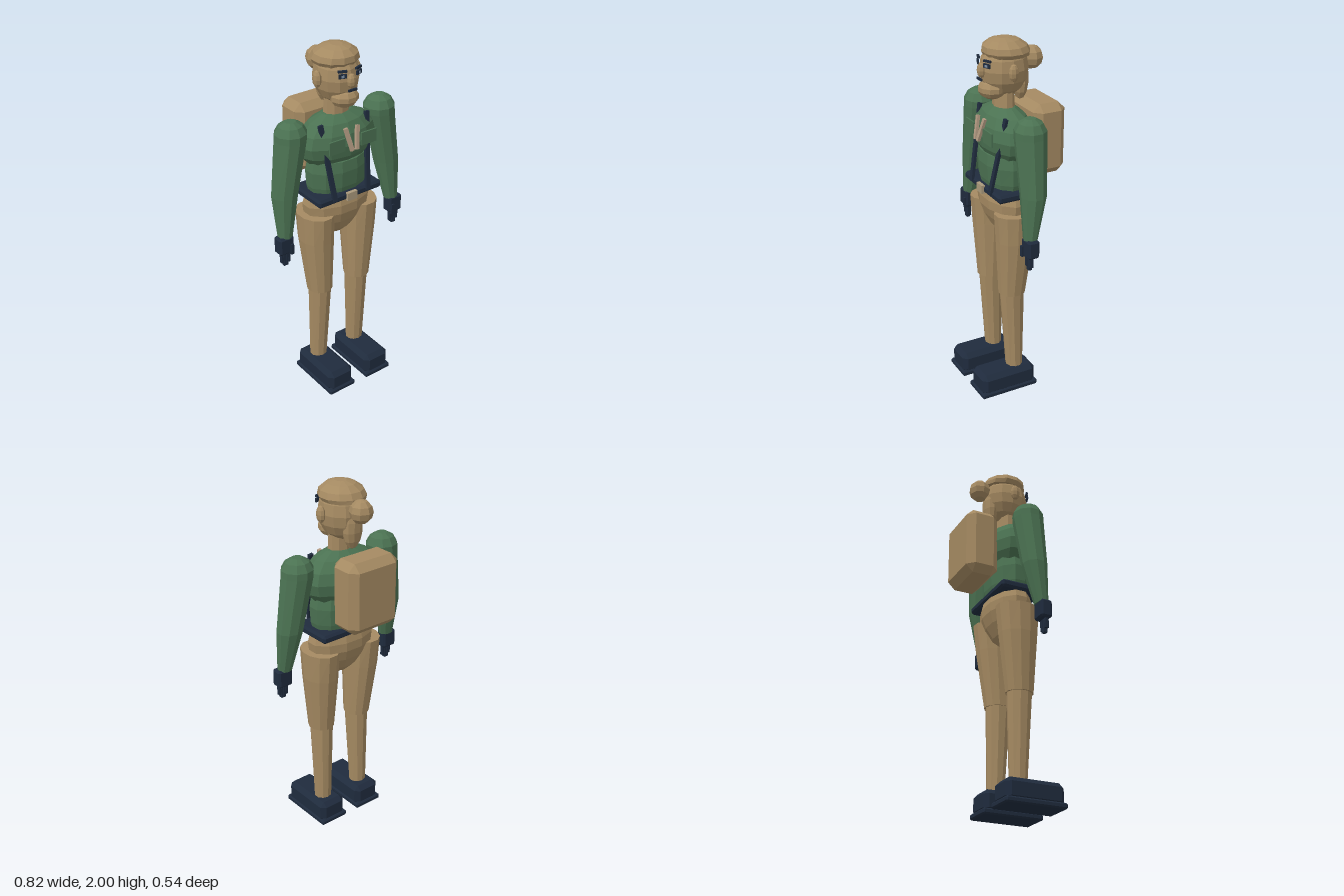
import * as THREE from 'three';
import { ConvexGeometry } from 'three/addons/geometries/ConvexGeometry.js';

const mat = (name, color) => {
  const m = new THREE.MeshStandardMaterial({ color, flatShading: true });
  m.name = name;
  return m;
};

// Solid from horizontal elliptical rings [x, y, z, rx, rz], listed bottom to top
function loft(rings, n = 10) {
  const pos = [], idx = [];
  for (const [x, y, z, rx, rz] of rings) {
    for (let i = 0; i < n; i++) {
      const a = ((i + 0.5) / n) * Math.PI * 2;
      pos.push(x + rx * Math.cos(a), y, z + rz * Math.sin(a));
    }
  }
  const last = rings.length - 1;
  for (let k = 0; k < last; k++) {
    for (let i = 0; i < n; i++) {
      const j = (i + 1) % n, a = k * n, b = a + n;
      idx.push(a + i, b + i, a + j, a + j, b + i, b + j);
    }
  }
  for (let i = 1; i < n - 1; i++) {
    idx.push(0, i, i + 1, last * n, last * n + i + 1, last * n + i);
  }
  const g = new THREE.BufferGeometry();
  g.setAttribute('position', new THREE.Float32BufferAttribute(pos, 3));
  g.setIndex(idx);
  g.computeVertexNormals();
  return g;
}

// Box with every edge cut at 45 degrees
function chamferBox(w, h, d, c) {
  const pts = [];
  for (const x of [-w / 2, w / 2]) for (const y of [-h / 2, h / 2]) for (const z of [-d / 2, d / 2]) {
    const X = x - Math.sign(x) * c, Y = y - Math.sign(y) * c, Z = z - Math.sign(z) * c;
    pts.push(new THREE.Vector3(x, Y, Z), new THREE.Vector3(X, y, Z), new THREE.Vector3(X, Y, z));
  }
  return new ConvexGeometry(pts);
}

export function createModel() {
  const model = new THREE.Group();
  model.name = 'figure';
  const tan = mat('tan', 0xa58a62), green = mat('green', 0x4b7252), navy = mat('navy', 0x1f2b3d);
  const buckleTan = mat('pale brass', 0xab9a7c), strapPink = mat('pinkish beige', 0xb09880);
  const eyeBlue = mat('eye grey', 0x7e90a4);

  const add = (name, geo, m, x = 0, y = 0, z = 0) => {
    const mesh = new THREE.Mesh(geo, m);
    mesh.name = name;
    mesh.position.set(x, y, z);
    model.add(mesh);
    return mesh;
  };
  const box = (w, h, d) => new THREE.BoxGeometry(w, h, d);
  const ball = (name, m, x, y, z, rx, ry, rz, n = 10, rows = 7) => {
    const b = add(name, new THREE.SphereGeometry(1, n, rows), m, x, y, z);
    b.scale.set(rx, ry, rz);
    return b;
  };
  // Bar running between two points
  const bar = (name, m, from, to, w, d) => {
    const a = new THREE.Vector3(...from), b = new THREE.Vector3(...to);
    const s = add(name, box(w, a.distanceTo(b), d), m);
    s.position.copy(a).add(b).multiplyScalar(0.5);
    s.quaternion.setFromUnitVectors(new THREE.Vector3(0, 1, 0), a.sub(b).normalize());
    return s;
  };

  // Head and hair
  ball('head', tan, 0, 1.84, 0.022, 0.117, 0.15, 0.13, 12, 8);
  ball('jaw', tan, 0, 1.74, 0.09, 0.078, 0.055, 0.075);
  ball('nose', tan, 0, 1.842, 0.15, 0.026, 0.04, 0.024, 8, 6);
  add('hairCap', loft([
    [0, 1.908, 0.005, 0.114, 0.12], [0, 1.93, 0.012, 0.127, 0.127], [0, 1.96, 0.018, 0.115, 0.117],
    [0, 1.988, 0.022, 0.075, 0.08], [0, 2.0, 0.025, 0.03, 0.035],
  ], 12), tan);
  ball('hairBun', tan, 0, 1.875, -0.137, 0.063, 0.063, 0.063, 8, 6);
  ball('hairTail', tan, 0, 1.78, -0.07, 0.06, 0.122, 0.043);
  add('mouth', box(0.052, 0.012, 0.009), navy, 0, 1.798, 0.161);
  add('neck', loft([[0, 1.6, 0.025, 0.078, 0.055], [0, 1.73, 0.025, 0.07, 0.05]]), tan);

  // Torso
  ball('chest', green, 0, 1.492, 0.025, 0.237, 0.162, 0.137, 12, 8);
  add('abdomen', loft([
    [0, 1.19, 0.03, 0.165, 0.1], [0, 1.25, 0.03, 0.182, 0.115],
    [0, 1.34, 0.03, 0.188, 0.122], [0, 1.4, 0.03, 0.175, 0.115],
  ], 12), green);
  add('belt', chamferBox(0.41, 0.045, 0.25, 0.012), navy, 0, 1.2, 0.033);
  add('buckle', box(0.062, 0.046, 0.02), buckleTan, 0, 1.2, 0.162);
  add('pelvis', loft([
    [0, 0.925, 0.025, 0.032, 0.025], [0, 0.965, 0.025, 0.095, 0.065], [0, 1.03, 0.025, 0.165, 0.1],
    [0, 1.09, 0.025, 0.2, 0.12], [0, 1.14, 0.025, 0.207, 0.122], [0, 1.18, 0.025, 0.195, 0.112],
  ], 12), tan);
  add('backpack', chamferBox(0.32, 0.39, 0.187, 0.04), tan, 0, 1.46, -0.177);

  for (const s of [-1, 1]) {
    // Face details
    ball('ear', tan, s * 0.123, 1.843, 0.03, 0.022, 0.046, 0.028, 8, 6);
    const turn = s * 0.35;
    add('eye', box(0.042, 0.022, 0.009), navy, s * 0.05, 1.876, 0.144).rotation.y = turn;
    add('iris', box(0.016, 0.012, 0.004), eyeBlue, s * 0.052, 1.876, 0.149).rotation.y = turn;
    add('eyebrow', box(0.046, 0.011, 0.012), navy, s * 0.05, 1.9, 0.141).rotation.y = turn;

    // Chest details
    add('pocket', box(0.097, 0.072, 0.009), green, s * 0.101, 1.515, 0.168);
    bar('suspender', navy, [s * 0.147, 1.617, 0.088], [s * 0.107, 1.2, 0.162], 0.026, 0.016);
    bar('collarStrap', strapPink, [s * 0.038, 1.595, 0.153], [s * 0.014, 1.475, 0.182], 0.02, 0.016);

    // Arm with domed shoulder
    add('forearm', loft([
      [s * 0.355, 1.025, 0.058, 0.042, 0.036], [s * 0.334, 1.26, 0.032, 0.074, 0.068],
    ]), green);
    add('upperArm', loft([
      [s * 0.334, 1.26, 0.032, 0.074, 0.068], [s * 0.285, 1.56, 0.023, 0.088, 0.085],
      [s * 0.283, 1.595, 0.023, 0.088, 0.085], [s * 0.283, 1.635, 0.023, 0.066, 0.063],
      [s * 0.283, 1.656, 0.023, 0.03, 0.028],
    ]), green);

    // Hand
    add('palm', chamferBox(0.088, 0.1, 0.065, 0.01), navy, s * 0.367, 0.985, 0.062);
    for (let i = 0; i < 4; i++) {
      const len = [0.085, 0.1, 0.1, 0.08][i];
      add('finger', box(0.012, len, 0.02), navy, s * (0.345 + i * 0.0145), 0.96 - len / 2, 0.068);
    }
    add('thumb', box(0.018, 0.06, 0.02), navy, s * 0.34, 0.962, 0.093);

    // Leg
    add('thigh', loft([
      [s * 0.128, 0.605, 0.043, 0.07, 0.076], [s * 0.14, 0.93, 0.03, 0.093, 0.108],
      [s * 0.142, 1.09, 0.027, 0.097, 0.122],
    ], 12), tan);
    add('calf', loft([
      [s * 0.13, 0.11, 0.03, 0.05, 0.046], [s * 0.126, 0.62, 0.043, 0.064, 0.07],
    ], 10), tan);

    // Shoe
    add('shoe', chamferBox(0.165, 0.125, 0.33, 0.026), navy, s * 0.128, 0.073, 0.095);
    add('sole', chamferBox(0.175, 0.032, 0.345, 0.008), navy, s * 0.128, 0.016, 0.095);
  }
  return model;
}
